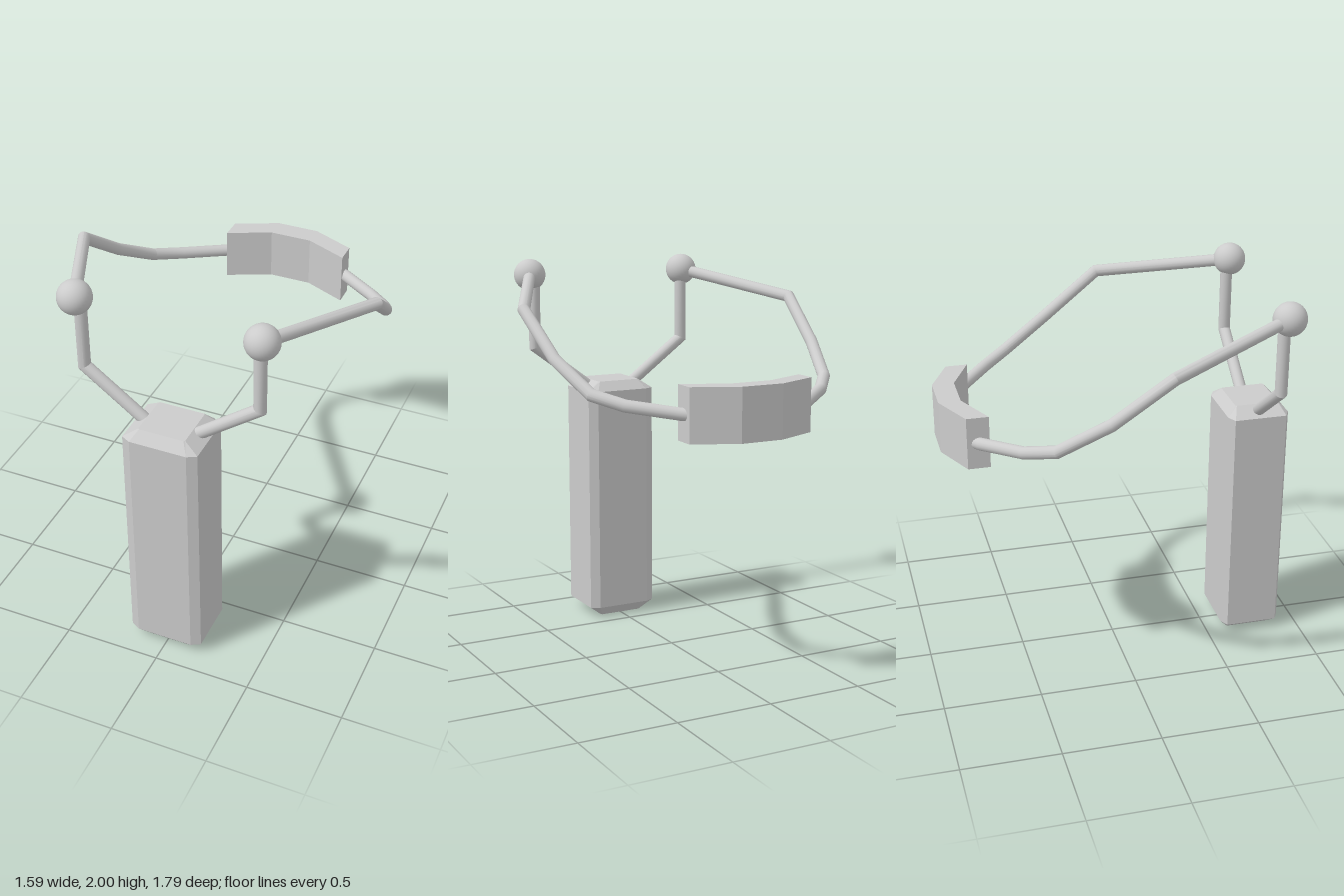
import * as THREE from 'three';
import { toCreasedNormals } from 'three/addons/utils/BufferGeometryUtils.js';

const material = new THREE.MeshStandardMaterial({ color: 0xcccccc });

function mesh(name, geometry) {
  const m = new THREE.Mesh(geometry, material);
  m.name = name;
  return m;
}

// Skin a stack of equal-length point rings (counterclockwise around the sweep) and cap both ends.
function loft(rings, crease) {
  const n = rings[0].length;
  const index = [];
  for (let i = 0; i < rings.length - 1; i++) {
    for (let j = 0; j < n; j++) {
      const k = (j + 1) % n;
      const a = i * n + j, b = i * n + k, c = b + n, d = a + n;
      index.push(a, b, c, a, c, d);
    }
  }
  const last = (rings.length - 1) * n;
  for (let j = 1; j < n - 1; j++) index.push(0, j + 1, j, last, last + j, last + j + 1);
  const geometry = new THREE.BufferGeometry().setFromPoints(rings.flat());
  geometry.setIndex(index);
  return toCreasedNormals(geometry, crease);
}

// Round rod along a polyline, with mitred joints.
function rod(path, radius, sides = 16) {
  const pts = path.map((p) => new THREE.Vector3(...p));
  const dirs = pts.slice(1).map((p, i) => p.clone().sub(pts[i]).normalize());
  const u = new THREE.Vector3(0, 0, 1).cross(dirs[0]).normalize();
  const v = dirs[0].clone().cross(u);
  let ring = [];
  for (let j = 0; j < sides; j++) {
    const a = (j / sides) * Math.PI * 2;
    ring.push(pts[0].clone().addScaledVector(u, radius * Math.cos(a)).addScaledVector(v, radius * Math.sin(a)));
  }
  const rings = [ring];
  dirs.forEach((dir, i) => {
    // slide the ring along the segment onto the plane bisecting the joint
    const normal = dir.clone().add(dirs[i + 1] ?? dir).normalize();
    const end = pts[i + 1];
    ring = ring.map((p) => p.clone().addScaledVector(dir, end.clone().sub(p).dot(normal) / dir.dot(normal)));
    rings.push(ring);
  });
  return loft(rings, 0.45);
}

// Rectangle with cut corners, lying flat at height y.
function cutRectangle(y, hx, hz, cx, cz, z0) {
  return [
    [hx - cx, hz], [hx, hz - cz], [hx, cz - hz], [hx - cx, -hz],
    [cx - hx, -hz], [-hx, cz - hz], [-hx, hz - cz], [cx - hx, hz],
  ].map(([x, z]) => new THREE.Vector3(x, y, z + z0));
}

export function createModel() {
  const group = new THREE.Group();

  // handle: tall block with cut edges and tapered ends
  const z0 = 0.735;
  group.add(mesh('handle', loft([
    cutRectangle(0, 0.12, 0.115, 0.006, 0.006, z0),
    cutRectangle(0.055, 0.193, 0.161, 0.047, 0.025, z0),
    cutRectangle(1.28, 0.193, 0.161, 0.047, 0.025, z0),
    cutRectangle(1.33, 0.12, 0.115, 0.006, 0.006, z0),
  ], 0.1)));

  // fork arms, tip balls and bands, one set per side
  for (const [side, s] of [['left', 1], ['right', -1]]) {
    const mirror = (path) => path.map(([x, y, z]) => [s * x, y, z]);

    group.add(mesh(side + 'ForkArm', rod(mirror([
      [0.135, 1.30, 0.735], [0.445, 1.53, 0.735], [0.445, 1.9, 0.735],
    ]), 0.031)));

    const ball = mesh(side + 'TipBall', new THREE.SphereGeometry(0.084, 32, 20));
    ball.position.set(s * 0.46, 1.916, 0.755);
    group.add(ball);

    group.add(mesh(side + 'Band', rod(mirror([
      [0.46, 1.915, 0.755], [0.765, 1.802, 0.1], [0.73, 1.59, -0.185], [0.65, 1.445, -0.425],
      [0.54, 1.405, -0.56], [0.34, 1.377, -0.73], [0.27, 1.37, -0.775],
    ]), 0.031)));
  }

  // pouch: bent pad joining the bands at the back
  const outline = [
    [-0.33, 0.685], [-0.11, 0.785], [0.11, 0.785], [0.33, 0.685],
    [0.33, 0.795], [0.11, 0.895], [-0.11, 0.895], [-0.33, 0.795],
  ].map((p) => new THREE.Vector2(...p));
  const pouch = new THREE.ExtrudeGeometry(new THREE.Shape(outline), { depth: 0.265, bevelEnabled: false });
  pouch.rotateX(-Math.PI / 2).translate(0, 1.245, 0);
  group.add(mesh('pouch', pouch));

  return group;
}
